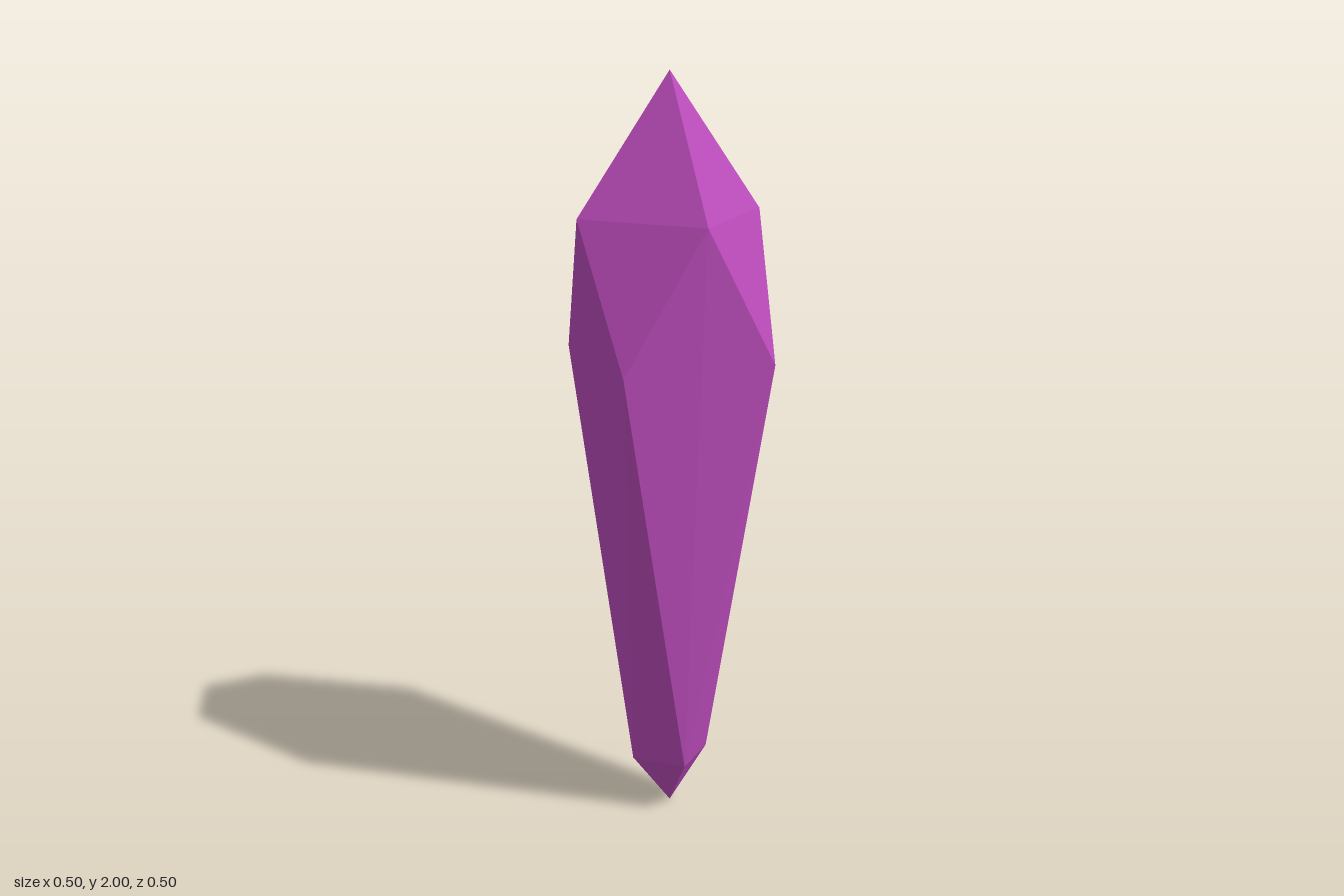
import * as THREE from 'three';

// Four points around the y axis, counterclockwise seen from above
function ring(radius, y, turn) {
  return Array.from({ length: 4 }, (_, i) => {
    const a = (i + turn) * Math.PI / 2;
    return [radius * Math.sin(a), y, radius * Math.cos(a)];
  });
}

export function createModel() {
  const group = new THREE.Group();
  group.name = 'crystal';

  const purple = new THREE.MeshStandardMaterial({ color: 0xbc4cbc, flatShading: true });
  purple.name = 'purple crystal';

  const tip = [0, 2, 0], foot = [0, 0, 0];
  const shoulder = ring(0.251, 1.64, 0);   // widest ring, on the axes
  const corner = ring(0.292, 1.27, 0.5);   // turned by an eighth
  const base = ring(0.108, 0.145, 0);

  const addFacets = (name, facets) => {
    const geometry = new THREE.BufferGeometry();
    geometry.setAttribute('position', new THREE.Float32BufferAttribute(facets.flat(2), 3));
    geometry.computeVertexNormals();
    const mesh = new THREE.Mesh(geometry, purple);
    mesh.name = name;
    group.add(mesh);
  };

  const crown = [], body = [], point = [];
  for (let i = 0; i < 4; i++) {
    const j = (i + 1) % 4;
    // Crown: steep tip facet and the facet leaning below it
    crown.push([tip, shoulder[i], shoulder[j]], [shoulder[i], corner[i], shoulder[j]]);
    // Body: two halves of the long kites and the narrow facet between them
    body.push(
      [shoulder[i], base[i], corner[i]],
      [shoulder[j], corner[i], base[j]],
      [corner[i], base[i], base[j]],
    );
    // Bottom point
    point.push([base[i], foot, base[j]]);
  }
  addFacets('crown', crown);
  addFacets('body', body);
  addFacets('bottomPoint', point);

  return group;
}
